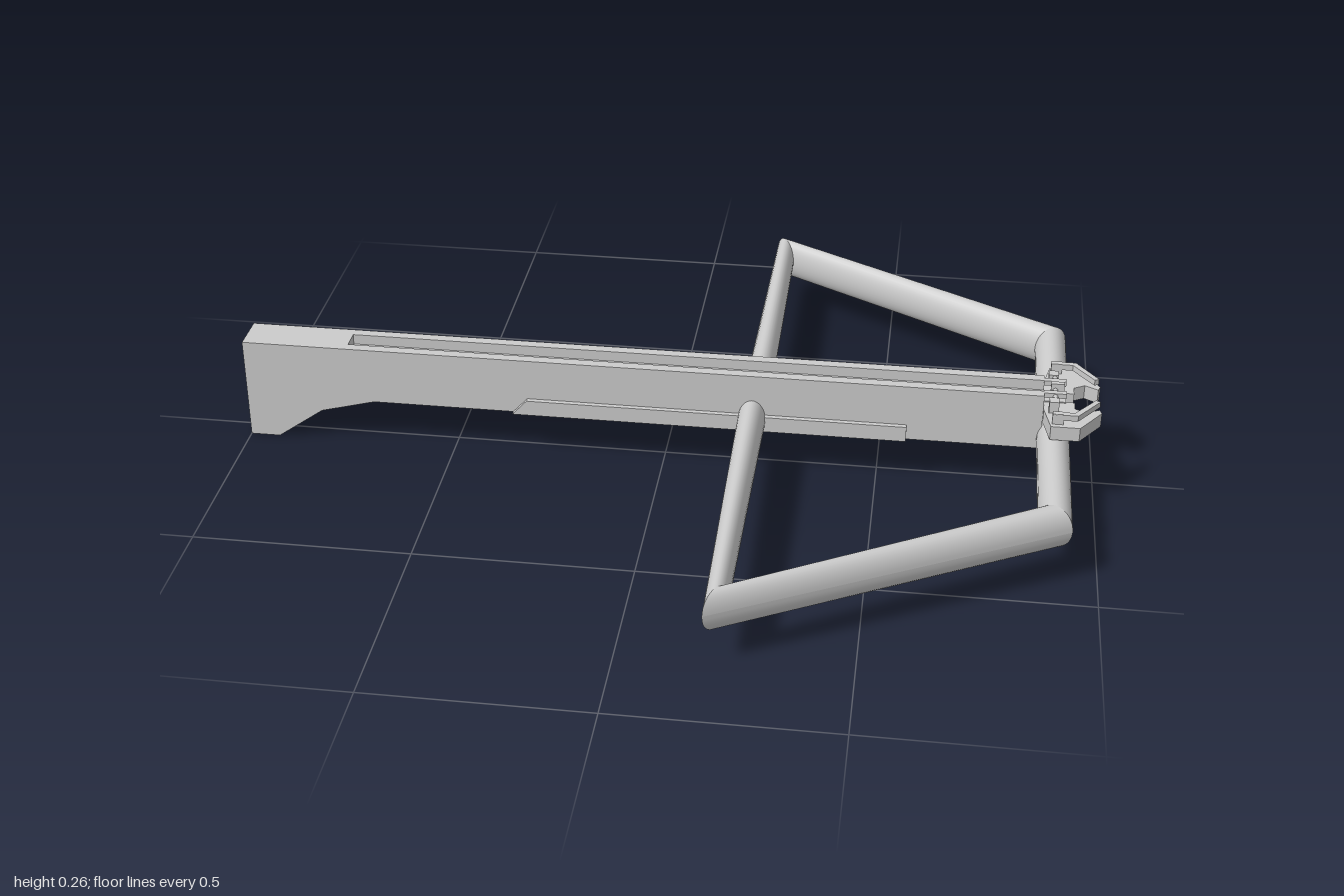
import * as THREE from 'three';

const material = new THREE.MeshStandardMaterial({ color: 0xcccccc, side: THREE.DoubleSide });

function addMesh(parent, name, geometry) {
  const mesh = new THREE.Mesh(geometry, material);
  mesh.name = name;
  parent.add(mesh);
  return mesh;
}

function shapeOf(points) {
  return new THREE.Shape(points.map(([a, b]) => new THREE.Vector2(a, b)));
}

// side profile in (x, y), extruded from z0 to z1
function sidePlate(points, z0, z1) {
  return new THREE.ExtrudeGeometry(shapeOf(points), { depth: z1 - z0, bevelEnabled: false }).translate(0, 0, z0);
}

// plan outline in (x, z), extruded from y0 to y1
function planPlate(points, y0, y1) {
  const flipped = points.map(([x, z]) => [x, -z]);
  return new THREE.ExtrudeGeometry(shapeOf(flipped), { depth: y1 - y0, bevelEnabled: false })
    .rotateX(-Math.PI / 2).translate(0, y0, 0);
}

// oval bar between two mitred ends, each given by its inner and outer plan point
function ovalBar(a, b, y, halfHeight, sides = 32) {
  const pos = [], index = [];
  for (const [inner, outer] of [a, b]) {
    for (let i = 0; i <= sides; i++) {
      const t = (i / sides) * Math.PI * 2, k = 0.5 + 0.5 * Math.cos(t);
      pos.push(
        inner[0] + (outer[0] - inner[0]) * k,
        y + halfHeight * Math.sin(t),
        inner[1] + (outer[1] - inner[1]) * k
      );
    }
  }
  for (let i = 0; i < sides; i++) {
    const j = i + sides + 1;
    index.push(i, i + 1, j, i + 1, j + 1, j);
  }
  const g = new THREE.BufferGeometry();
  g.setAttribute('position', new THREE.Float32BufferAttribute(pos, 3));
  g.setIndex(index);
  g.computeVertexNormals();
  return g;
}

export function createModel() {
  const model = new THREE.Group();
  model.name = 'crossbow';
  const W = 0.048, grooveY = 0.225, topY = 0.25;

  // stock with shaped butt
  const stock = new THREE.Group();
  stock.name = 'stock';
  model.add(stock);
  addMesh(stock, 'stockBody', sidePlate([
    [-1, 0], [-0.93, 0], [-0.82, 0.078], [-0.69, 0.112], [0.87, 0.112], [0.87, grooveY], [-1, grooveY]
  ], -W, W));

  // top layer leaves the bolt groove open
  addMesh(stock, 'grooveRails', planPlate([
    [-1, -W], [0.87, -W], [0.87, -0.024], [-0.75, -0.024],
    [-0.75, 0.024], [0.87, 0.024], [0.87, W], [-1, W]
  ], grooveY, topY));
  addMesh(stock, 'noseTongue', new THREE.BoxGeometry(0.06, 0.035, 0.05).translate(0.89, 0.207, 0));

  // bow frame corners as [inner, outer] plan points for one half
  const corners = (s) => [
    [[0.86, 0], [0.935, 0]],
    [[0.86, s * 0.38], [0.935, s * 0.425]],
    [[0.235, s * 0.765], [0.187, s * 0.835]],
    [[0.24, 0], [0.175, 0]]
  ];
  const barNames = ['frontBar', 'bowArm', 'rearBar'];

  for (const [side, s] of [['left', 1], ['right', -1]]) {
    const half = new THREE.Group();
    half.name = side + 'Side';
    model.add(half);

    const c = corners(s);
    barNames.forEach((name, i) => {
      const ends = s > 0 ? [c[i], c[i + 1]] : [c[i + 1], c[i]];
      addMesh(half, name, ovalBar(...ends, 0.136, 0.05));
    });

    // thin grip panel on the side of the stock
    const z = [s * W, s * 0.06].sort((a, b) => a - b);
    addMesh(half, 'gripPanel', sidePlate([
      [-0.355, 0.112], [0.565, 0.112], [0.565, 0.15], [-0.32, 0.15]
    ], z[0], z[1]));

    // claw at the nose: base, angled raised guard and its post
    const mirror = (pts) => pts.map(([x, zz]) => [x, s * zz]);
    addMesh(half, 'clawBase', planPlate(mirror([
      [0.87, 0.02], [0.94, 0.02], [0.94, 0.047], [0.965, 0.062], [0.995, 0.045],
      [1, 0.06], [0.95, 0.133], [0.885, 0.133], [0.87, 0.06]
    ]), 0.188, 0.222));
    addMesh(half, 'clawGuard', planPlate(mirror([
      [0.888, 0.122], [0.944, 0.122], [0.995, 0.052], [0.985, 0.046], [0.937, 0.109], [0.888, 0.109]
    ]), 0.233, 0.247));
    addMesh(half, 'guardPost', new THREE.BoxGeometry(0.025, 0.04, 0.013).translate(0.9, 0.228, s * 0.115));

    // small catch blocks beside the groove
    addMesh(half, 'catchBlock', new THREE.BoxGeometry(0.022, 0.03, 0.022).translate(0.892, 0.235, s * 0.062));
    addMesh(half, 'catchArm', new THREE.BoxGeometry(0.05, 0.012, 0.014).translate(0.895, 0.245, s * 0.028));
  }

  // cross pin and nock at the nose
  addMesh(model, 'crossPin', new THREE.CylinderGeometry(0.006, 0.006, 0.1, 12).rotateX(Math.PI / 2).translate(0.895, 0.243, 0));
  addMesh(model, 'nock', new THREE.BoxGeometry(0.03, 0.035, 0.012).translate(0.9, 0.242, 0));

  return model;
}
